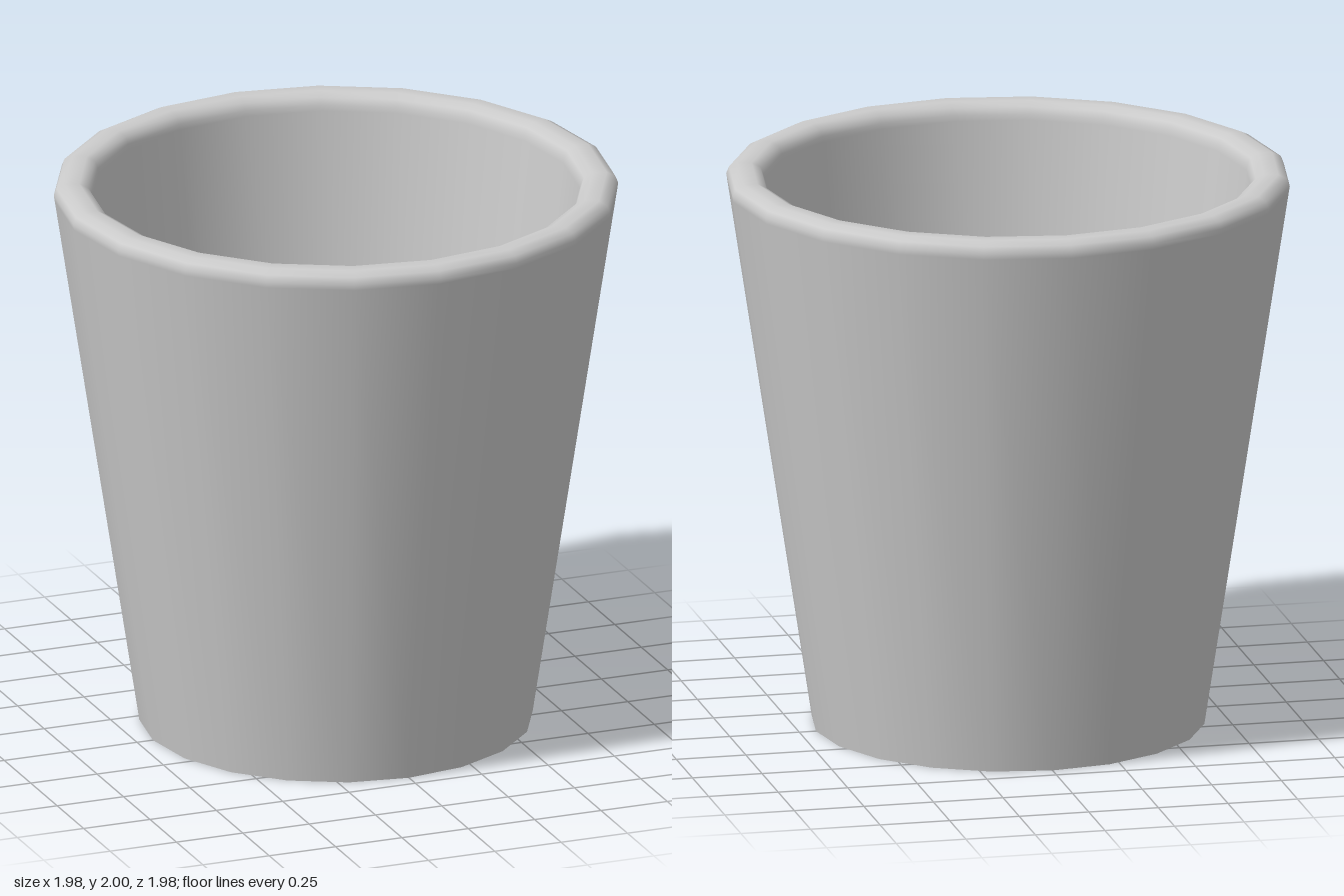
import * as THREE from 'three';

const SIDES = 20;
const FLOOR_Y = 0.2;

export function createModel() {
  const group = new THREE.Group();
  const material = new THREE.MeshStandardMaterial({ color: 0xcccccc });

  const add = (name, geometry, y = 0) => {
    const mesh = new THREE.Mesh(geometry, material);
    mesh.name = name;
    mesh.position.y = y;
    group.add(mesh);
  };

  // Tapered wall: up the outside, over the rounded rim, down the inside
  const profile = [
    [0.69, 0], [0.987, 1.94], [0.99, 1.96], [0.98, 1.985], [0.95, 2],
    [0.9, 2], [0.87, 1.985], [0.86, 1.96], [0.857, 1.94], [0.66, FLOOR_Y],
  ].map(([r, y]) => new THREE.Vector2(r, y));
  add('cupWall', new THREE.LatheGeometry(profile, SIDES));

  // Inner floor and underside, with sharp edges
  add('innerFloor', new THREE.CircleGeometry(0.66, SIDES).rotateX(-Math.PI / 2), FLOOR_Y);
  add('underside', new THREE.CircleGeometry(0.69, SIDES).rotateX(Math.PI / 2));

  return group;
}
